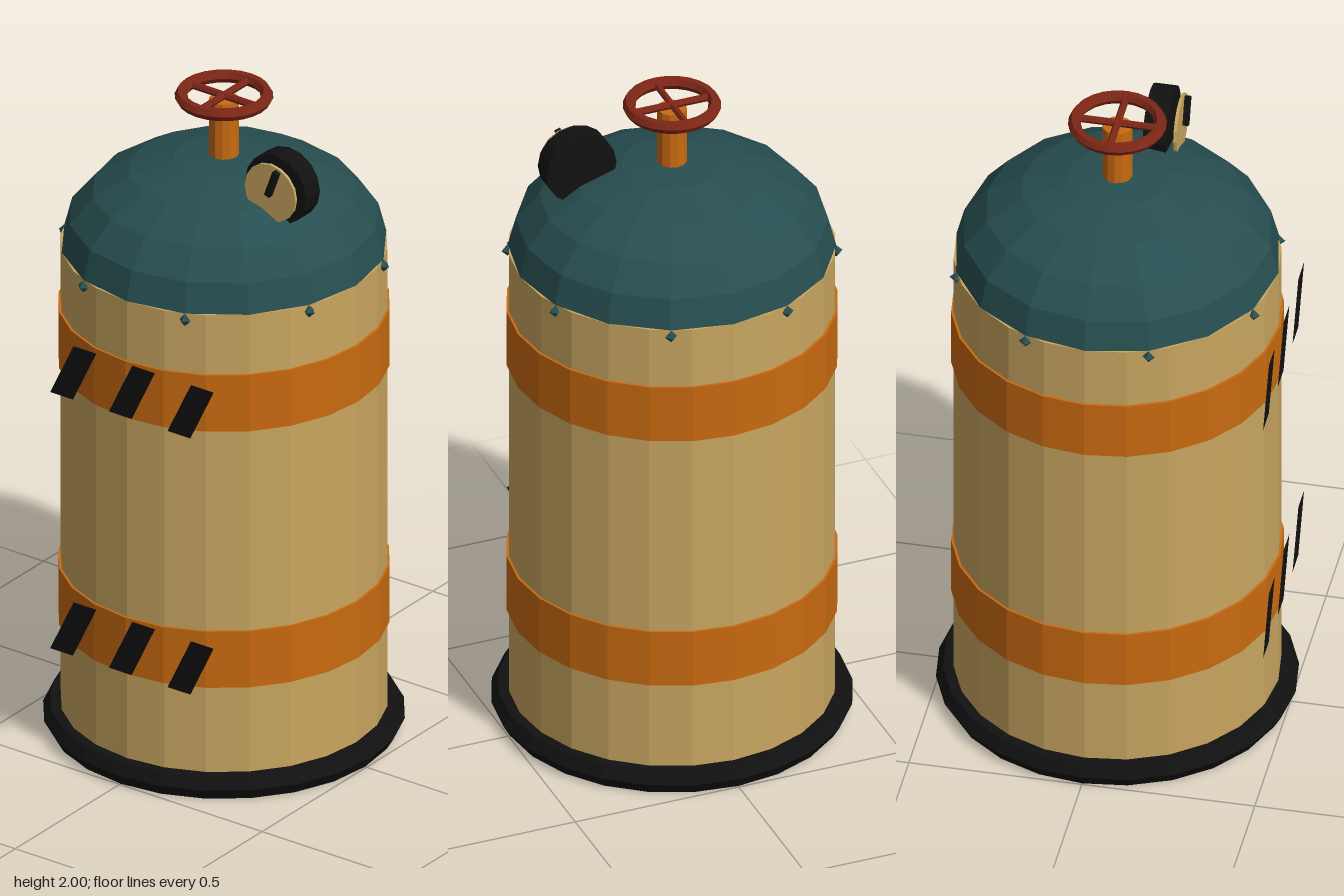
import * as THREE from 'three';

export function createModel() {
  const root = new THREE.Group();
  root.name = 'pressureTank';

  const mat = (name, color, extra = {}) =>
    new THREE.MeshStandardMaterial({ name, color, flatShading: true, ...extra });
  const cream = mat('cream', 0xc9a660);
  const orange = mat('orange', 0xc96a10);
  const teal = mat('teal', 0x274e50);
  const red = mat('red', 0x7d2616);
  const black = mat('black', 0x111111, { side: THREE.DoubleSide });

  const add = (name, geometry, material, x = 0, y = 0, z = 0, parent = root) => {
    const mesh = new THREE.Mesh(geometry, material);
    mesh.name = name;
    mesh.position.set(x, y, z);
    parent.add(mesh);
    return mesh;
  };
  const cylinder = (r, h, sides) => new THREE.CylinderGeometry(r, r, h, sides);

  // Body and base ring
  const R = 0.465;
  add('body', cylinder(R, 1.49, 24), cream, 0, 0.775, 0);
  add('baseRing', new THREE.TorusGeometry(0.475, 0.04, 6, 24).rotateX(Math.PI / 2), black, 0, 0.036, 0);

  // Flattened dome
  const dome = new THREE.SphereGeometry(R, 16, 5, 0, Math.PI * 2, 0, Math.PI / 2);
  dome.scale(1, 0.285 / R, 1);
  add('dome', dome, teal, 0, 1.52, 0);

  // Rivets under the dome
  for (let i = 0; i < 8; i++) {
    const a = (i + 0.5) * Math.PI / 4;
    add('rivet', new THREE.OctahedronGeometry(0.019), teal, R * Math.sin(a), 1.5, R * Math.cos(a));
  }

  // Bands, each with three slanted warning stripes on the front
  const stripe = new THREE.Shape([
    new THREE.Vector2(-0.081, -0.085), new THREE.Vector2(-0.001, -0.085),
    new THREE.Vector2(0.081, 0.085), new THREE.Vector2(0.001, 0.085),
  ]);
  for (const y of [0.43, 1.243]) {
    add('band', cylinder(0.472, 0.178, 24), orange, 0, y, 0);
    for (let i = -1; i <= 1; i++) {
      add('warningStripe', new THREE.ShapeGeometry(stripe), black, 0.025 + i * 0.206, y, 0.475);
    }
  }

  // Valve stem and handwheel
  add('valveStem', cylinder(0.043, 0.19, 12), orange, 0, 1.88, 0);
  const wheel = new THREE.Group();
  wheel.name = 'handwheel';
  wheel.position.y = 1.984;
  root.add(wheel);
  add('wheelRim', new THREE.TorusGeometry(0.122, 0.0185, 6, 24).rotateX(Math.PI / 2), red, 0, 0, 0, wheel);
  const spoke = cylinder(0.011, 0.23, 6).rotateZ(Math.PI / 2);
  for (let i = 0; i < 2; i++) {
    add('wheelSpoke', spoke, red, 0, 0, 0, wheel).rotation.y = i * Math.PI / 2;
  }

  // Pressure gauge facing the front
  const gauge = new THREE.Group();
  gauge.name = 'gauge';
  gauge.position.set(0.26, 1.807, 0);
  root.add(gauge);
  add('gaugeCase', cylinder(0.107, 0.066, 16).rotateX(Math.PI / 2), black, 0, 0, 0.074, gauge);
  add('gaugeFace', cylinder(0.089, 0.009, 16).rotateX(Math.PI / 2), cream, 0, 0, 0.13, gauge);
  add('gaugeNeedle', new THREE.BoxGeometry(0.018, 0.085, 0.017), black, 0.015, 0.037, 0.144, gauge)
    .rotation.z = -0.35;

  return root;
}
